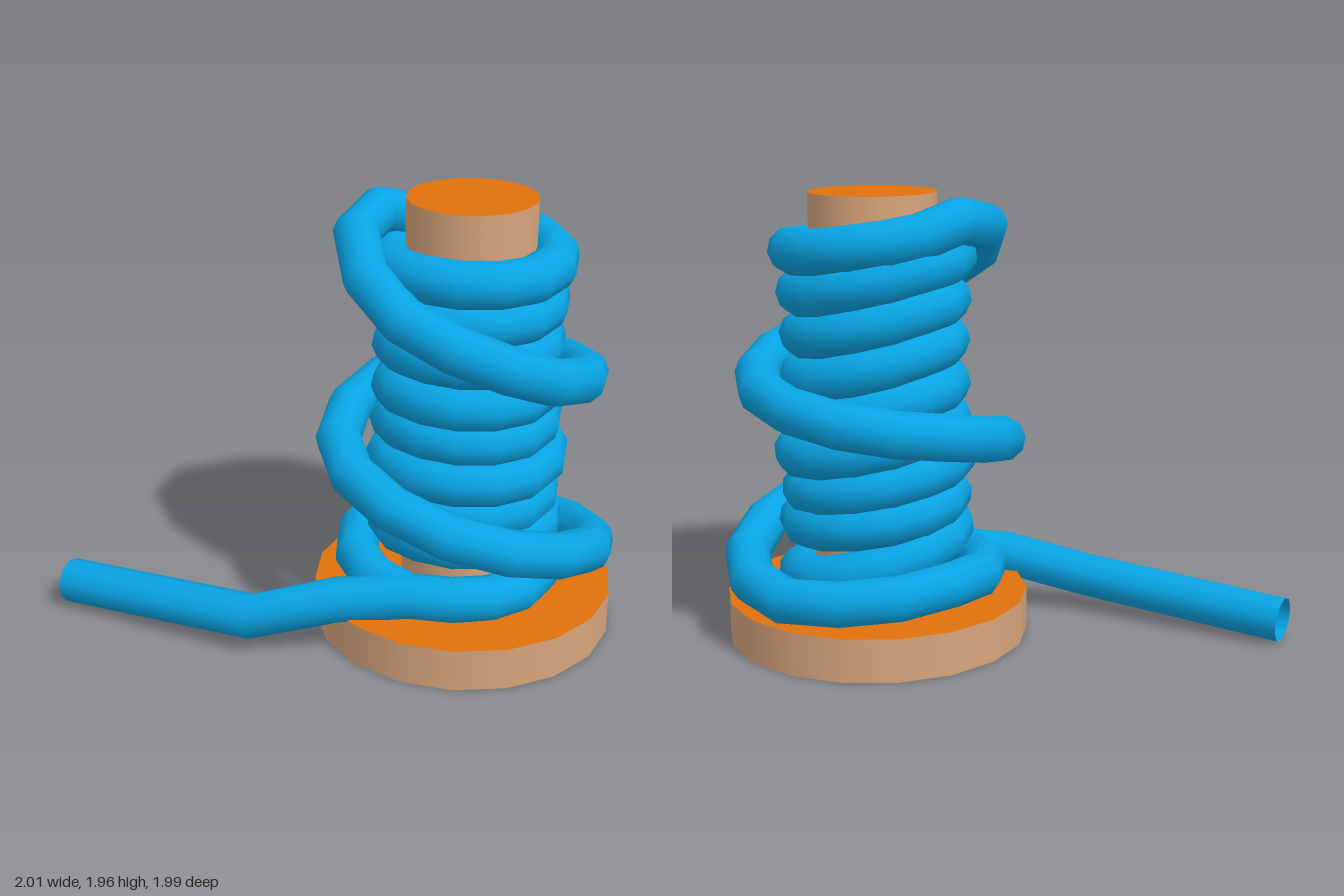
import * as THREE from 'three';

const CX = 0.333, CZ = -0.333;
const sideMat = new THREE.MeshStandardMaterial({ color: 0xd8a57c });
const capMat = new THREE.MeshStandardMaterial({ color: 0xe0700c });
const ropeMat = new THREE.MeshStandardMaterial({ color: 0x08a4e4, side: THREE.DoubleSide });

// Solid disc or post: tan wall with orange end faces
function woodCylinder(name, radius, y0, y1) {
  const group = new THREE.Group();
  group.name = name;
  const wall = new THREE.Mesh(new THREE.CylinderGeometry(radius, radius, y1 - y0, 18, 1, true), sideMat);
  wall.name = name + 'Wall';
  wall.position.y = (y0 + y1) / 2;
  group.add(wall);
  for (const [label, y, dir] of [['Top', y1, -1], ['Bottom', y0, 1]]) {
    // circle turned so its corners meet the wall's corners
    const cap = new THREE.Mesh(new THREE.CircleGeometry(radius, 18, Math.PI / 2), capMat);
    cap.name = name + label;
    cap.rotation.x = dir * Math.PI / 2;
    cap.position.y = y;
    group.add(cap);
  }
  group.position.set(CX, 0, CZ);
  return group;
}

// Curve that steps straight from point to point, one tube ring per point
class Polyline extends THREE.Curve {
  constructor(points) {
    super();
    this.points = points;
  }
  getPoint(t, target = new THREE.Vector3()) {
    const last = this.points.length - 1;
    const f = Math.min(Math.max(t, 0), 1) * last;
    const i = Math.min(Math.floor(f), last - 1);
    return target.lerpVectors(this.points[i], this.points[i + 1], f - i);
  }
  getPointAt(t, target) {
    return this.getPoint(t, target);
  }
  getTangent(t, target = new THREE.Vector3()) {
    const d = 0.5 / (this.points.length - 1);
    return target.copy(this.getPoint(t + d)).sub(this.getPoint(t - d)).normalize();
  }
  getTangentAt(t, target) {
    return this.getTangent(t, target);
  }
}

// Winding keys: [turns from the front, radius, height]
const winding = [[0.03, 0.43, 0.275], [0.12, 0.37, 0.27], [0.25, 0.345, 0.255], [0.5, 0.34, 0.3], [0.75, 0.33, 0.44]];

// Tight coil: each turn [radius, height at the front] lies almost level, then climbs at the back left
const turns = [[0.335, 0.51], [0.32, 0.65], [0.35, 0.82], [0.315, 0.99], [0.32, 1.15], [0.315, 1.34], [0.325, 1.52], [0.355, 1.7]];
turns.forEach(([r, y], i) => {
  const t = i + 1;
  winding.push([t, r, y], [t + 0.25, r, y - 0.01], [t + 0.5, r, y + 0.025]);
  if (i < turns.length - 1) winding.push([t + 0.75, (r + turns[i + 1][0]) / 2, turns[i + 1][1] - 0.04]);
});

// Loose coil coming back down, ending under the tail
winding.push(
  [8.75, 0.35, 1.8], [8.83, 0.43, 1.865], [8.9, 0.49, 1.8], [9, 0.505, 1.61],
  [9.25, 0.5, 1.28], [9.37, 0.51, 1.18], [9.5, 0.52, 1.11],
  [9.75, 0.545, 0.98], [10, 0.57, 0.79], [10.25, 0.57, 0.51], [10.42, 0.585, 0.32],
  [10.52, 0.58, 0.28], [10.75, 0.525, 0.34], [10.88, 0.48, 0.305], [11.03, 0.43, 0.27],
);

function windingPoint(t) {
  let i = 0;
  while (i < winding.length - 2 && winding[i + 1][0] < t) i++;
  const [t0, r0, y0] = winding[i], [t1, r1, y1] = winding[i + 1];
  const k = (t - t0) / (t1 - t0);
  const r = r0 + (r1 - r0) * k, a = t * Math.PI * 2;
  return new THREE.Vector3(CX + r * Math.sin(a), y0 + (y1 - y0) * k, CZ + r * Math.cos(a));
}

export function createModel() {
  const model = new THREE.Group();
  model.name = 'ropeSpool';

  model.add(woodCylinder('base', 0.667, 0, 0.19));
  model.add(woodCylinder('post', 0.277, 0.19, 1.96));

  // Loose tail followed by the whole winding
  const path = [
    new THREE.Vector3(-0.97, 0.1, 0.905),
    new THREE.Vector3(-0.08, 0.155, 0.57),
    new THREE.Vector3(0.19, 0.25, 0.31),
  ];
  const start = 0.03, end = 11.03, steps = 154;
  for (let i = 0; i <= steps; i++) path.push(windingPoint(start + (end - start) * i / steps));

  const rope = new THREE.Mesh(new THREE.TubeGeometry(new Polyline(path), path.length - 1, 0.1, 10, false), ropeMat);
  rope.name = 'rope';
  model.add(rope);

  return model;
}
